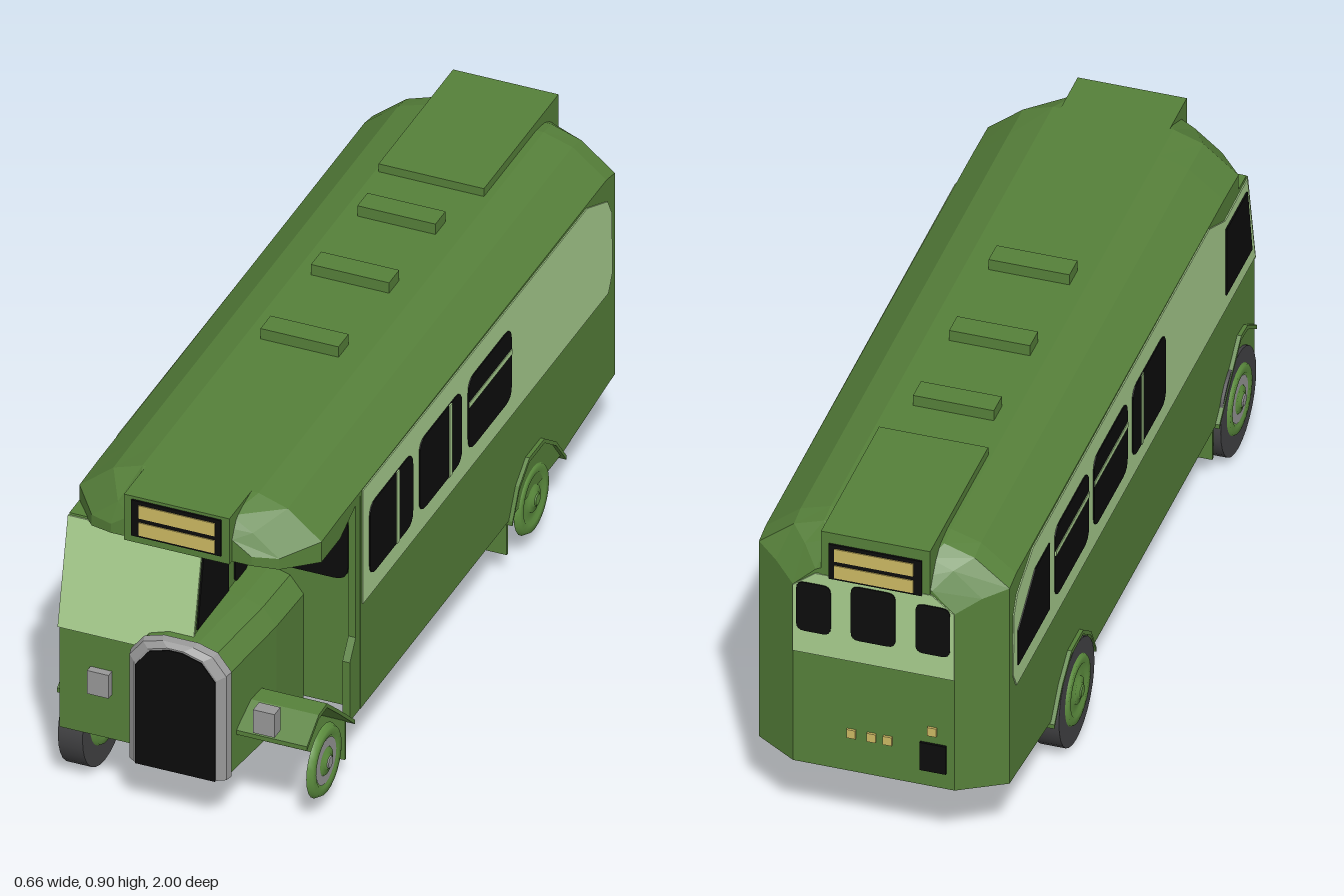
import * as THREE from 'three';

const mat = (name, color, side = THREE.FrontSide) => {
  const m = new THREE.MeshStandardMaterial({ color, side });
  m.name = name;
  return m;
};

export function createModel() {
  const bus = new THREE.Group();
  bus.name = 'halfCabBus';
  const green = mat('body green', 0x56803a);
  const pale = mat('pale green', 0xa8ce8e);
  const black = mat('glass black', 0x0c0c0c);
  const grey = mat('metal grey', 0x989898);
  const tyreGrey = mat('tyre grey', 0x444446);
  const cream = mat('blind cream', 0xcdb963);
  const rimGreen = mat('wheel green', 0x5f9140, THREE.DoubleSide);

  const add = (name, geo, m, parent = bus) => {
    const mesh = new THREE.Mesh(geo, m);
    mesh.name = name;
    parent.add(mesh);
    return mesh;
  };
  const poly = pts => new THREE.Shape(pts.map(p => new THREE.Vector2(p[0], p[1])));
  const rounded = (u0, u1, v0, v1, r) => {
    const s = new THREE.Shape();
    s.moveTo(u0 + r, v0);
    s.lineTo(u1 - r, v0); s.quadraticCurveTo(u1, v0, u1, v0 + r);
    s.lineTo(u1, v1 - r); s.quadraticCurveTo(u1, v1, u1 - r, v1);
    s.lineTo(u0 + r, v1); s.quadraticCurveTo(u0, v1, u0, v1 - r);
    s.lineTo(u0, v0 + r); s.quadraticCurveTo(u0, v0, u0 + r, v0);
    return s;
  };
  const extrude = (shape, depth) =>
    new THREE.ExtrudeGeometry(shape, { depth, bevelEnabled: false, curveSegments: 4 });
  // Prism drawn in (z, y), running from x0 to x1
  const sidePrism = (name, shape, x0, x1, m) =>
    add(name, extrude(shape, x1 - x0).rotateY(-Math.PI / 2).translate(x1, 0, 0), m);
  // Prism drawn in (x, y), running from z0 to z1
  const facePrism = (name, shape, z0, z1, m) =>
    add(name, extrude(shape, z1 - z0).translate(0, 0, z0), m);
  const box = (name, x0, x1, y0, y1, z0, z1, m) =>
    add(name, new THREE.BoxGeometry(x1 - x0, y1 - y0, z1 - z0)
      .translate((x0 + x1) / 2, (y0 + y1) / 2, (z0 + z1) / 2), m);

  // Flat-shaded skin through convex rings, ordered from back to front
  const loft = (name, rings, m) => {
    const v = [];
    const tri = (...p) => p.forEach(q => v.push(...q));
    const n = rings[0].length;
    for (let i = 0; i + 1 < rings.length; i++) {
      for (let j = 0; j < n; j++) {
        const k = (j + 1) % n, A = rings[i], B = rings[i + 1];
        tri(A[j], A[k], B[k]);
        tri(A[j], B[k], B[j]);
      }
    }
    const first = rings[0], last = rings[rings.length - 1];
    for (let j = 1; j + 1 < n; j++) {
      tri(first[0], first[j + 1], first[j]);
      tri(last[0], last[j], last[j + 1]);
    }
    const g = new THREE.BufferGeometry();
    g.setAttribute('position', new THREE.Float32BufferAttribute(v, 3));
    g.computeVertexNormals();
    return add(name, g, m);
  };
  // Section: half width, floor, eave, roof shoulder and roof top heights
  const section = ([z, h, yb, ye, ym, yt]) => [
    [-h, yb, z], [h, yb, z], [h, ye, z], [h * 0.72, ym, z], [h * 0.48, yt, z],
    [-h * 0.48, yt, z], [-h * 0.72, ym, z], [-h, ye, z]];

  // Saloon body and canopy over the cab
  loft('body', [
    [-0.99, 0.2, 0.21, 0.72, 0.775, 0.8],
    [-0.95, 0.255, 0.205, 0.75, 0.815, 0.84],
    [-0.91, 0.31, 0.2, 0.765, 0.835, 0.86],
    [-0.86, 0.31, 0.195, 0.775, 0.845, 0.868],
    [-0.6, 0.31, 0.165, 0.775, 0.845, 0.868],
    [0.6, 0.31, 0.165, 0.775, 0.845, 0.868]].map(section), green);
  loft('canopy', [
    [0.59, 0.31, 0.768, 0.775, 0.845, 0.868],
    [0.72, 0.31, 0.715, 0.775, 0.845, 0.868],
    [0.83, 0.31, 0.715, 0.772, 0.843, 0.868],
    [0.92, 0.24, 0.73, 0.76, 0.815, 0.85],
    [0.945, 0.18, 0.74, 0.765, 0.8, 0.83]].map(section), green);
  box('frontSignBox', -0.14, 0.13, 0.74, 0.868, 0.6, 0.96, green);
  box('roofPod', -0.14, 0.13, 0.75, 0.89, -0.992, -0.55, green);
  for (const z of [0.19, -0.11, -0.385]) box('roofVent', -0.11, 0.09, 0.86, 0.897, z - 0.03, z + 0.03, green);

  // Destination signs, front and back
  for (const [s, z] of [[1, 0.96], [-1, -0.992]]) {
    const layer = (name, x0, x1, y0, y1, d0, d1, m) =>
      box(name, x0, x1, y0, y1, Math.min(z + s * d0, z + s * d1), Math.max(z + s * d0, z + s * d1), m);
    layer('signBoard', -0.12, 0.11, 0.76, 0.86, 0, 0.005, black);
    layer('signStrip', -0.1, 0.095, 0.766, 0.802, 0.005, 0.0075, cream);
    layer('signStrip', -0.1, 0.095, 0.814, 0.85, 0.005, 0.0075, cream);
  }

  // Driver's cab beside the bonnet
  sidePrism('cab', poly([[0.59, 0.165], [0.95, 0.165], [0.95, 0.455], [0.89, 0.73], [0.59, 0.73]]), -0.31, 0.03, green);
  sidePrism('cabFrontPanel', poly([[0.949, 0.448], [0.956, 0.448], [0.895, 0.725], [0.888, 0.725]]), -0.312, 0.032, pale);
  sidePrism('cabInnerWindow', poly([[0.74, 0.51], [0.925, 0.51], [0.888, 0.7], [0.74, 0.695]]), 0.03, 0.034, black);
  sidePrism('cabInnerWindow', rounded(0.63, 0.7, 0.51, 0.7, 0.01), 0.03, 0.034, black);
  sidePrism('cabSideWindow', poly([[0.72, 0.5], [0.915, 0.5], [0.88, 0.69], [0.72, 0.69]]), -0.317, -0.313, black);
  sidePrism('doorPost', poly([[0.59, 0.165], [0.66, 0.165], [0.66, 0.33], [0.625, 0.38], [0.625, 0.77], [0.59, 0.77]]), 0.29, 0.309, green);
  facePrism('bulkheadWindow', rounded(0.05, 0.28, 0.52, 0.7, 0.035), 0.6, 0.605, black);

  // Bonnet, radiator shell and grille
  const arch = (l, r, top, b) => [
    [l, b], [r, b], [r, top - 0.06], [r - 0.035, top - 0.015], [r - 0.085, top],
    [l + 0.085, top], [l + 0.035, top - 0.015], [l, top - 0.06]];
  const ring = (pts, z) => pts.map(p => [p[0], p[1], z]);
  loft('bonnet', [
    ring(arch(-0.12, 0.165, 0.51, 0.16), 0.6),
    ring(arch(-0.12, 0.16, 0.508, 0.16), 0.75),
    ring(arch(-0.115, 0.135, 0.5, 0.16), 0.975)], green);
  loft('radiatorShell', [
    ring(arch(-0.12, 0.138, 0.503, 0.15), 0.965),
    ring(arch(-0.115, 0.133, 0.5, 0.15), 0.985),
    ring(arch(-0.098, 0.113, 0.49, 0.15), 0.997)], grey);
  facePrism('grille', poly(arch(-0.094, 0.11, 0.486, 0.148)), 0.995, 1, black);
  box('headlight', -0.23, -0.175, 0.29, 0.355, 0.94, 0.97, grey);
  box('headlight', 0.195, 0.25, 0.29, 0.355, 0.935, 0.97, grey);

  // Pale waist bands and side windows
  const bandRear = [[-0.74, 0.768], [-0.86, 0.715], [-0.885, 0.67], [-0.89, 0.5], [-0.865, 0.455]];
  sidePrism('paleBand', poly([[0.59, 0.455], [0.59, 0.773], ...bandRear]), 0.309, 0.313, pale);
  sidePrism('paleBand', poly([[0.95, 0.455], [0.89, 0.72], [0.72, 0.715], [0.6, 0.773], ...bandRear]), -0.313, -0.309, pale);
  const sideWindow = (s, z0, z1, barZ) => {
    const span = (a, b) => s > 0 ? [a, b] : [-b, -a];
    sidePrism('sideWindow', rounded(z0, z1, 0.51, 0.71, 0.035), ...span(0.313, 0.316), black);
    const bar = barZ === undefined ? rounded(z0, z1, 0.634, 0.648, 0.001) : rounded(barZ - 0.008, barZ + 0.008, 0.51, 0.71, 0.001);
    sidePrism('windowBar', bar, ...span(0.315, 0.318), pale);
  };
  sideWindow(1, 0.3, 0.555, 0.392);
  for (const s of [1, -1]) {
    sideWindow(s, 0.01, 0.26, 0.08);
    sideWindow(s, -0.285, -0.03);
  }
  sideWindow(-1, -0.58, -0.325);
  sidePrism('rearSideWindow', poly([[-0.86, 0.51], [-0.62, 0.51], [-0.62, 0.7], [-0.73, 0.7], [-0.86, 0.61]]), -0.316, -0.313, black);

  // Back panel, windows, lamps and plate
  facePrism('backBand', poly([[-0.2, 0.53], [0.2, 0.53], [0.2, 0.72], [0.144, 0.765], [-0.144, 0.765], [-0.2, 0.72]]), -0.9935, -0.989, pale);
  for (const [a, b, top] of [[0.105, 0.19, 0.735], [-0.055, 0.055, 0.75], [-0.19, -0.105, 0.735]])
    facePrism('backWindow', rounded(a, b, 0.595, top, 0.02), -0.9965, -0.993, black);
  for (const [x, y] of [[0.055, 0.32], [0.005, 0.32], [-0.035, 0.32], [-0.145, 0.37]])
    box('tailLamp', x - 0.011, x + 0.011, y - 0.012, y + 0.012, -0.996, -0.989, cream);
  box('backPlate', -0.18, -0.115, 0.255, 0.335, -0.996, -0.989, black);

  // Mudguards: thin arches over the wheels
  const shell = pts => poly([...pts, ...pts.map(p => [p[0], p[1] - 0.012]).reverse()]);
  const frontArch = shell([[0.94, 0.265], [0.87, 0.312], [0.82, 0.315], [0.75, 0.255], [0.655, 0.17]]);
  const rearArch = shell([[-0.28, 0.165], [-0.32, 0.24], [-0.38, 0.285], [-0.47, 0.285], [-0.54, 0.235], [-0.6, 0.16]]);
  sidePrism('frontMudguard', frontArch, 0.14, 0.32, green);
  sidePrism('frontMudguard', frontArch, -0.32, -0.25, green);
  sidePrism('rearMudguard', rearArch, 0.25, 0.32, green);
  sidePrism('rearMudguard', rearArch, -0.32, -0.25, green);
  for (const z of [0.665, -0.295]) box('splashBoard', -0.3, 0.3, 0.06, 0.17, z - 0.004, z + 0.004, green);

  // Wheels: stepped rim discs, with tyres on the right-hand side only
  const rimProfile = [[0, 0.012], [0.018, 0.012], [0.02, 0.006], [0.034, 0.006], [0.036, 0], [0.06, 0],
    [0.066, 0.006], [0.085, 0.006], [0.093, -0.008]].map(p => new THREE.Vector2(...p));
  const rim = (x, z, s, front) => {
    const g = new THREE.Group();
    g.name = 'wheelRim';
    add('rimDisc', new THREE.LatheGeometry(rimProfile, 24), rimGreen, g);
    if (front) add('rimRing', new THREE.RingGeometry(0.036, 0.06, 24).rotateX(-Math.PI / 2).translate(0, 0.003, 0), grey, g);
    add('hubCap', new THREE.CylinderGeometry(0.014, 0.018, 0.006, 12).translate(0, 0.012, 0), front ? grey : rimGreen, g);
    g.rotation.z = -s * Math.PI / 2;
    g.position.set(x, 0.142, z);
    bus.add(g);
  };
  for (const [z, front] of [[0.805, true], [-0.425, false]]) {
    rim(0.308, z, 1, front);
    add('tyre', new THREE.CylinderGeometry(0.135, 0.135, 0.063, 28).rotateZ(Math.PI / 2).translate(-0.2865, 0.135, z), tyreGrey);
    rim(-0.319, z, -1, front);
    rim(-0.254, z, 1, front);
  }
  return bus;
}
